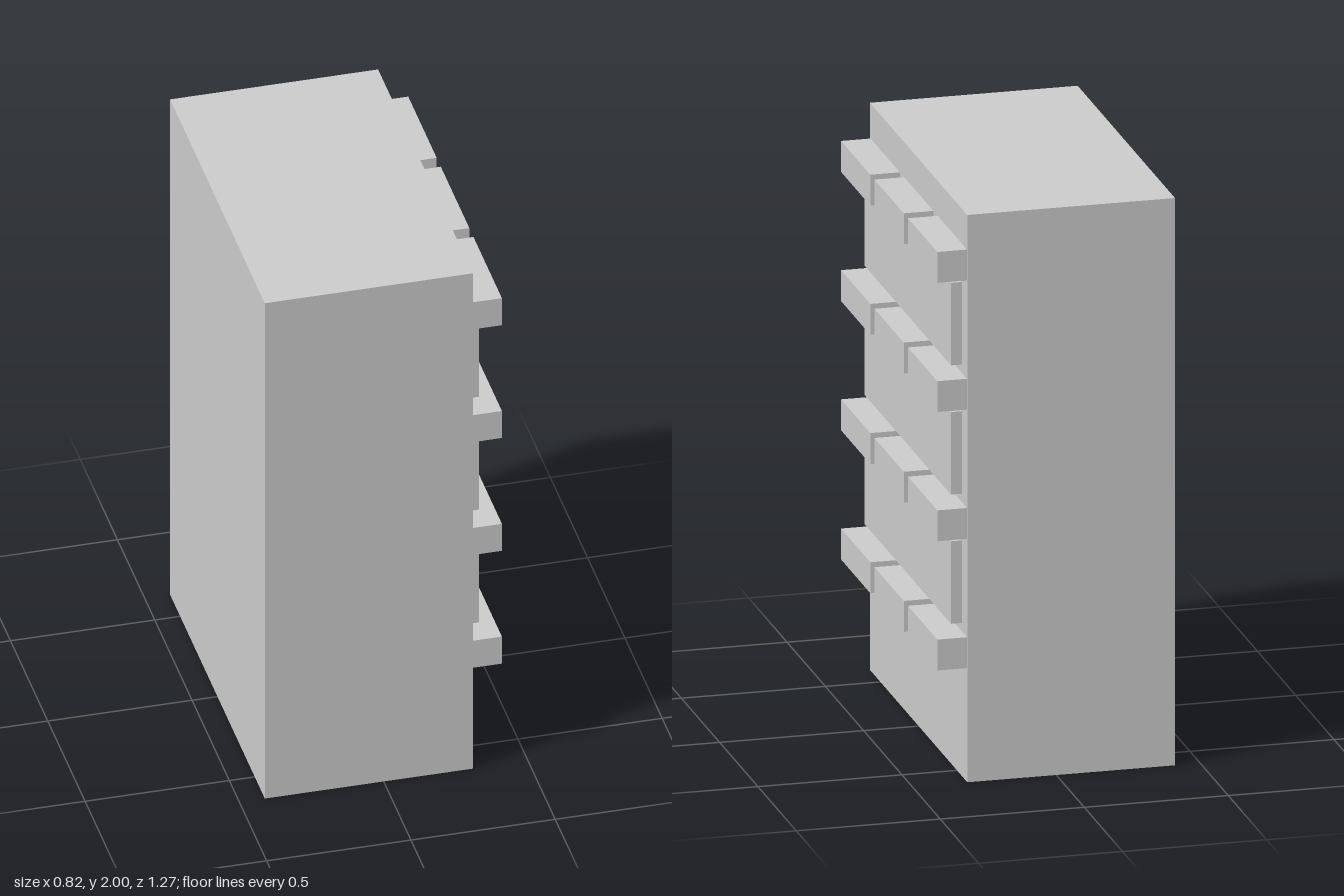
import * as THREE from 'three';

const material = new THREE.MeshStandardMaterial({ color: 0xcccccc, flatShading: true });

// Box given by its extents along each axis
function box(name, [x0, x1], [y0, y1], [z0, z1]) {
  const mesh = new THREE.Mesh(new THREE.BoxGeometry(x1 - x0, y1 - y0, z1 - z0), material);
  mesh.position.set((x0 + x1) / 2, (y0 + y1) / 2, (z0 + z1) / 2);
  mesh.name = name;
  return mesh;
}

export function createModel() {
  const model = new THREE.Group();
  model.name = 'building';
  const wall = 0.309, pitch = 0.4555;

  // Main block
  model.add(box('body', [-0.412, wall], [0, 2], [-0.635, 0.635]));

  // Four rows of three projecting ledges on the left wall
  for (let row = 0; row < 4; row++) {
    const y = 0.401 + row * pitch;
    for (let i = -1; i <= 1; i++) {
      const z = i * 0.437 - 0.002;
      model.add(box('ledge', [wall, 0.412], [y, y + 0.109], [z - 0.191, z + 0.191]));
    }
  }

  // Shallow wide panels between the ledge rows
  for (let row = 0; row < 3; row++) {
    const y = 0.54 + row * pitch;
    model.add(box('panel', [wall, 0.347], [y, y + 0.291], [-0.565, 0.567]));
  }
  return model;
}
